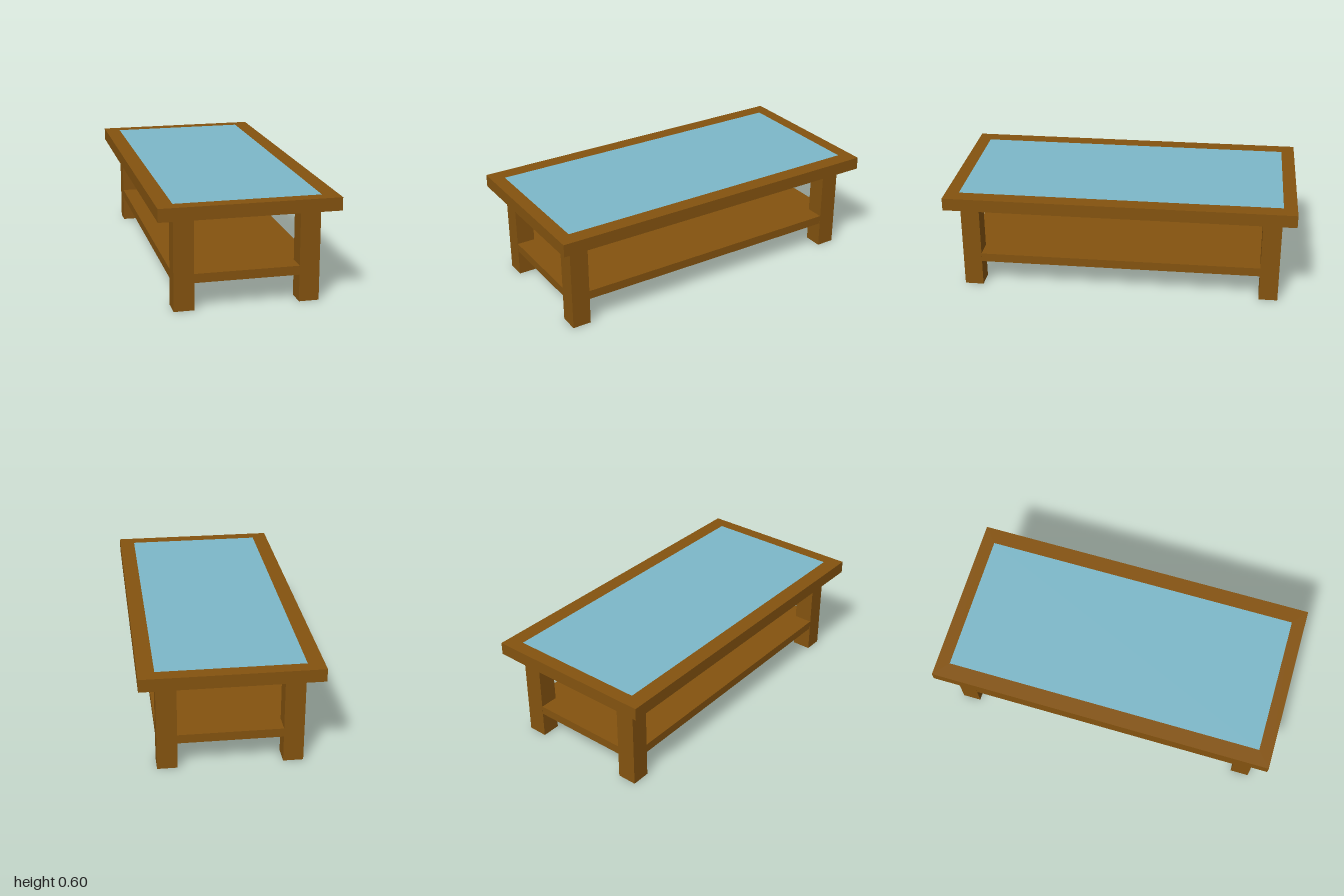
import * as THREE from 'three';

const wood = new THREE.MeshStandardMaterial({ color: 0x84530f });
const glass = new THREE.MeshStandardMaterial({ color: 0x7db8c9 });

// Box given by its size, centre and bottom/top heights
function slab(name, material, width, depth, bottom, top, x = 0, z = 0) {
  const mesh = new THREE.Mesh(new THREE.BoxGeometry(width, top - bottom, depth), material);
  mesh.name = name;
  mesh.position.set(x, (bottom + top) / 2, z);
  return mesh;
}

function rectangle(PathType, halfX, halfZ) {
  return new PathType([
    new THREE.Vector2(-halfX, -halfZ), new THREE.Vector2(halfX, -halfZ),
    new THREE.Vector2(halfX, halfZ), new THREE.Vector2(-halfX, halfZ),
  ]);
}

export function createModel() {
  const table = new THREE.Group();
  table.name = 'coffeeTable';

  const topY = 0.595, underY = 0.522;
  const inlayX = 0.403, inlayZ = 0.923, inlayDepth = 0.02;

  // Wooden frame around the glass
  const outline = rectangle(THREE.Shape, 0.494, 1);
  outline.holes.push(rectangle(THREE.Path, inlayX, inlayZ));
  const frameGeometry = new THREE.ExtrudeGeometry(outline, { depth: topY - underY, bevelEnabled: false });
  frameGeometry.rotateX(-Math.PI / 2);
  const frame = new THREE.Mesh(frameGeometry, wood);
  frame.name = 'topFrame';
  frame.position.y = underY;
  table.add(frame);

  // Board filling the frame, with the glass set flush on it
  table.add(slab('topBoard', wood, 2 * inlayX, 2 * inlayZ, underY, topY - inlayDepth));
  table.add(slab('glassPanel', glass, 2 * inlayX, 2 * inlayZ, topY - inlayDepth, topY));

  // Four square legs
  const legWidth = 0.112, legDepth = 0.108;
  for (const [side, sx] of [['Left', 1], ['Right', -1]]) {
    for (const [end, sz] of [['front', 1], ['back', -1]]) {
      table.add(slab(`${end}${side}Leg`, wood, legWidth, legDepth, 0, underY, sx * 0.346, sz * 0.869));
    }
  }

  // Lower shelf, reaching the outer faces of the legs
  table.add(slab('shelf', wood, 0.802, 1.844, 0.153, 0.204));

  return table;
}
